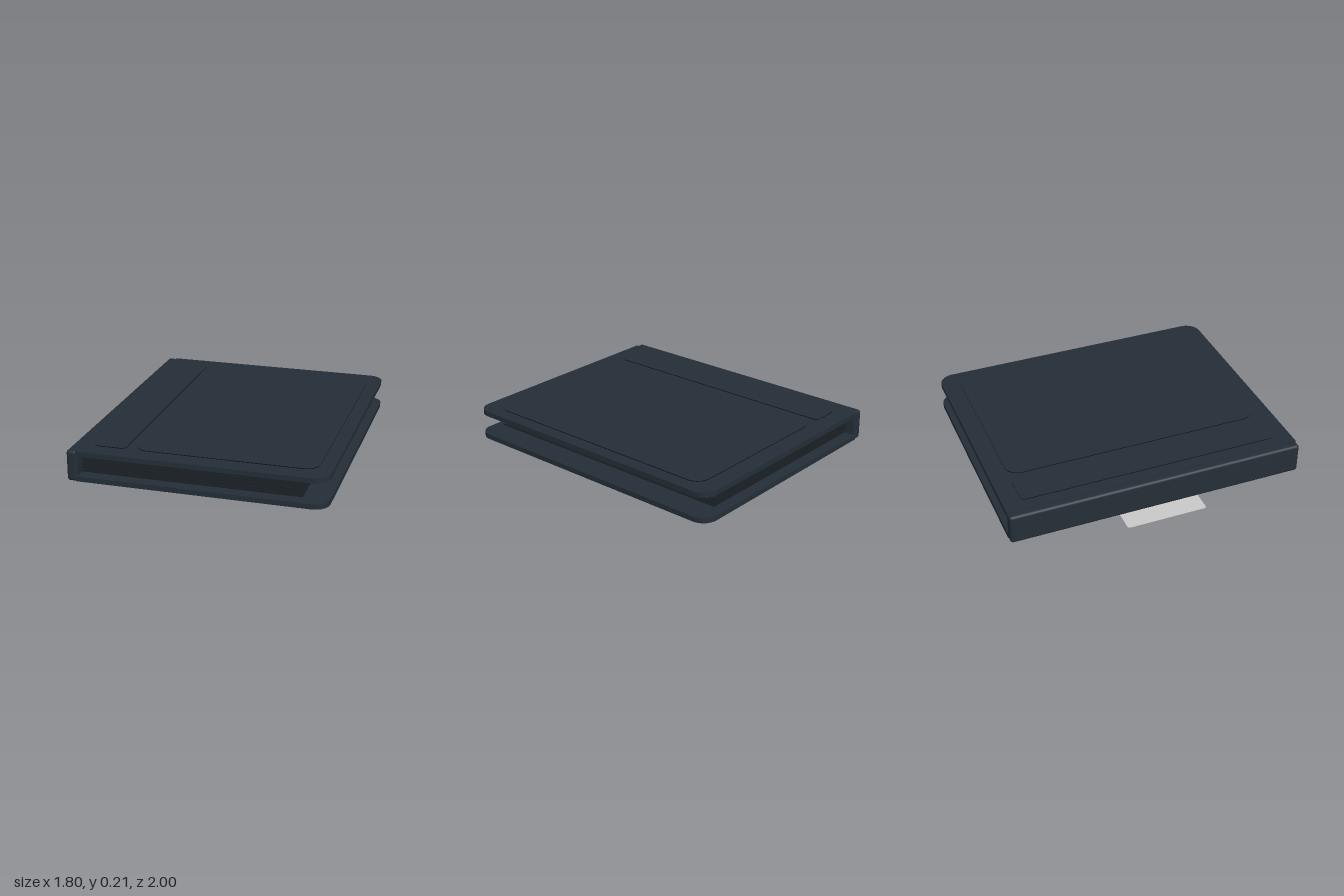
import * as THREE from 'three';
import { RoundedBoxGeometry } from 'three/addons/geometries/RoundedBoxGeometry.js';

const mat = (name, color, extra = {}) => {
  const m = new THREE.MeshStandardMaterial({ color, ...extra });
  m.name = name;
  return m;
};

// Horizontal outline from x0..x1 and -hz..hz, with separate radii on each x side
function outline(x0, x1, hz, rLeft, rRight) {
  const s = new THREE.Shape();
  s.moveTo(x0 + rLeft, -hz);
  s.lineTo(x1 - rRight, -hz);
  if (rRight) s.absarc(x1 - rRight, -hz + rRight, rRight, -Math.PI / 2, 0);
  s.lineTo(x1, hz - rRight);
  if (rRight) s.absarc(x1 - rRight, hz - rRight, rRight, 0, Math.PI / 2);
  s.lineTo(x0 + rLeft, hz);
  if (rLeft) s.absarc(x0 + rLeft, hz - rLeft, rLeft, Math.PI / 2, Math.PI);
  s.lineTo(x0, -hz + rLeft);
  if (rLeft) s.absarc(x0 + rLeft, -hz + rLeft, rLeft, Math.PI, Math.PI * 1.5);
  return s;
}

// Flat slab lying between heights y0 and y1
function slab(shape, y0, y1) {
  const g = new THREE.ExtrudeGeometry(shape, { depth: y1 - y0, bevelEnabled: false, curveSegments: 12 });
  g.rotateX(-Math.PI / 2);
  g.translate(0, y0, 0);
  return g;
}

export function createModel() {
  const model = new THREE.Group();
  model.name = 'cardBinder';
  const cover = mat('coverNavy', 0x242e37);
  const seam = mat('seamBlack', 0x0c1114);
  const page = mat('pageDark', 0x171d21);
  const tagGrey = mat('tagGrey', 0xc8c8c8, { side: THREE.DoubleSide });

  const add = (name, geometry, material, parent = model) => {
    const m = new THREE.Mesh(geometry, material);
    m.name = name;
    parent.add(m);
    return m;
  };

  // Covers, rounded on the opening side
  const coverShape = outline(-0.71, 0.9, 1, 0, 0.1);
  add('bottomCover', slab(coverShape, 0.003, 0.037), cover);
  add('topCover', slab(coverShape, 0.171, 0.205), cover);

  // Spine
  add('spine', new RoundedBoxGeometry(0.07, 0.205, 2, 4, 0.02), cover).position.set(-0.735, 0.1025, 0);

  // Raised panels on the top cover, with dark stitched edges
  add('frontPanel', slab(outline(-0.365, 0.81, 0.877, 0.09, 0.09), 0.204, 0.21), [cover, seam]);
  add('spineStrip', slab(outline(-0.63, -0.42, 0.877, 0.03, 0.03), 0.204, 0.21), [cover, seam]);

  // Pages, each with a three by three grid of pockets on both faces
  const sheetGeo = new THREE.BoxGeometry(1.435, 0.004, 1.86);
  const pocketGeo = new THREE.BoxGeometry(0.435, 0.0015, 0.6);
  for (let i = 0; i < 6; i++) {
    const leaf = new THREE.Group();
    leaf.name = 'page' + (i + 1);
    leaf.position.y = 0.046 + i * 0.0232;
    add('sheet', sheetGeo, page, leaf).position.x = 0.0175;
    for (const side of [-1, 1])
      for (let col = 0; col < 3; col++)
        for (let row = -1; row <= 1; row++)
          add('pocket', pocketGeo, page, leaf).position.set(-0.407 + col * 0.445, side * 0.006, row * 0.62);
    model.add(leaf);
  }

  // Thin pull tag under the spine
  const tag = new THREE.ShapeGeometry(outline(-0.9, -0.5, 0.272, 0.018, 0.018));
  tag.rotateX(-Math.PI / 2);
  add('pullTag', tag, tagGrey).position.y = 0.0015;

  return model;
}
